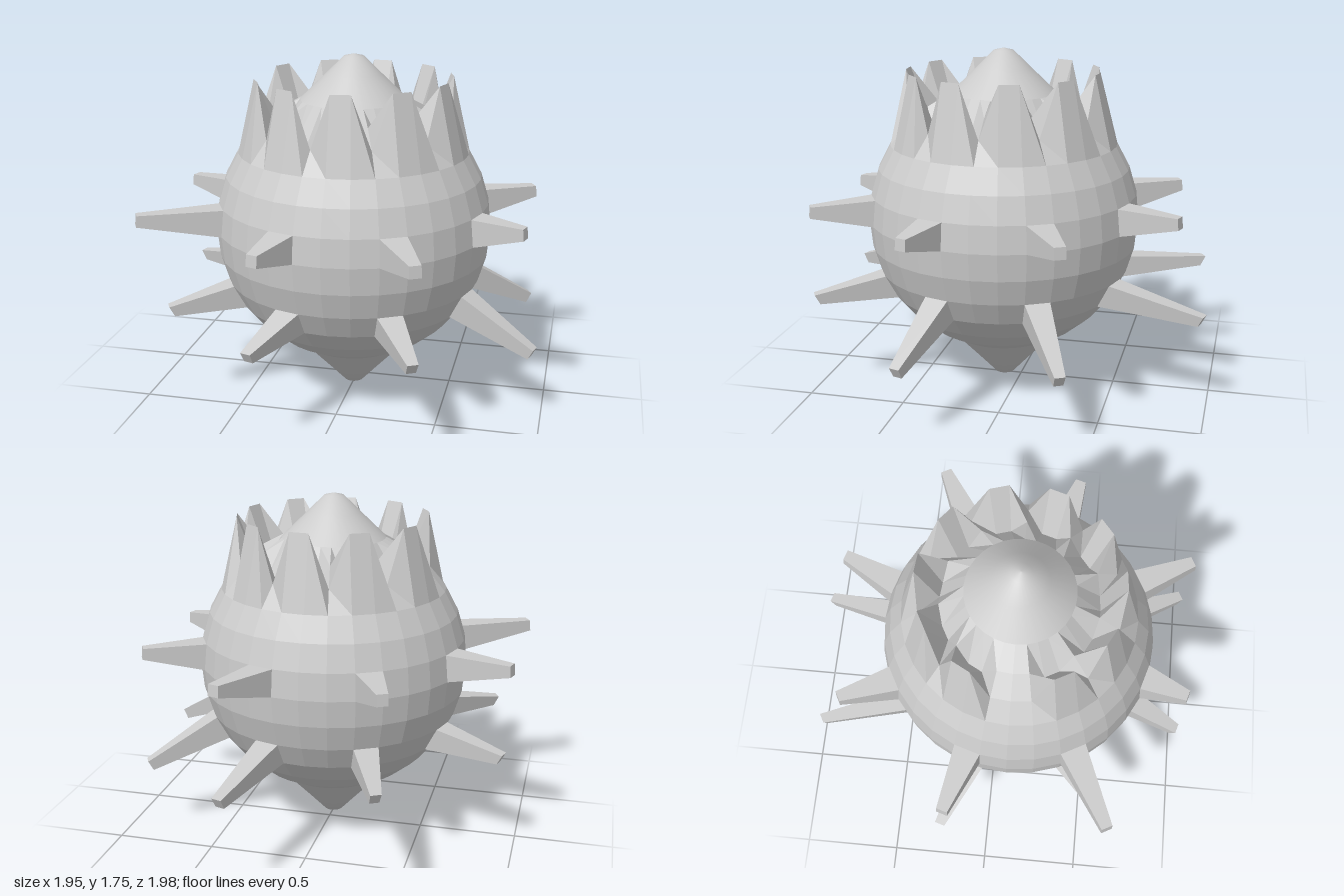
import * as THREE from 'three';

const R = 0.695, CY = 0.885, CZ = 0.09; // ball radius and centre
const STEP = Math.PI / 16;              // one facet, both ways

// point on the ball: column counts round from the front, row up from the equator
function ballPoint(col, row) {
  const a = col * STEP, e = row * STEP;
  return new THREE.Vector3(R * Math.cos(e) * Math.sin(a), CY + R * Math.sin(e), CZ + R * Math.cos(e) * Math.cos(a));
}

// faceted ball whose upper rings rise into a crown with a groove behind it
function bodyGeometry() {
  const geo = new THREE.SphereGeometry(R, 32, 12, Math.PI / 2, Math.PI * 2, 2 * STEP, 12 * STEP);
  const pos = geo.attributes.position;
  for (let i = 0; i < pos.count; i++) {
    const row = Math.floor(i / 33), j = ((i % 33) + 7) % 32;
    const inTooth = j < 30 && j % 3 !== 0; // ten teeth of three facets, one gap
    if (inTooth && row === 2) pos.setY(i, 1.64 - CY);
    if (inTooth && row === 1) pos.setY(i, pos.getY(i) - 0.1);
  }
  geo.translate(0, CY, CZ);
  const flat = geo.toNonIndexed();
  flat.computeVertexNormals();
  return flat;
}

// tapered spike from one facet of the ball to a small square tip
function spikeGeometry(col, row, tip) {
  const geo = new THREE.BoxGeometry(1, 1, 1);
  const pos = geo.attributes.position;
  const centre = ballPoint(col + 0.5, row + 0.5);
  const end = new THREE.Vector3(...tip);
  for (let i = 0; i < pos.count; i++) {
    const p = ballPoint(col + (pos.getX(i) > 0 ? 1 : 0), row + (pos.getY(i) > 0 ? 1 : 0));
    if (pos.getZ(i) > 0) p.sub(centre).multiplyScalar(0.42).add(end);
    pos.setXYZ(i, p.x, p.y, p.z);
  }
  geo.computeVertexNormals();
  return geo;
}

export function createModel() {
  const model = new THREE.Group();
  const flat = new THREE.MeshStandardMaterial({ color: 0xcccccc, flatShading: true, side: THREE.DoubleSide });
  const smooth = new THREE.MeshStandardMaterial({ color: 0xcccccc, side: THREE.DoubleSide });
  const add = (name, geo, mat, parent = model) => {
    const mesh = new THREE.Mesh(geo, mat);
    mesh.name = name;
    parent.add(mesh);
    return mesh;
  };

  add('crownedBody', bodyGeometry(), flat);

  // pointed caps, listed from bottom to top
  const cap = (name, pts) => {
    const geo = new THREE.LatheGeometry(pts.map(([x, y]) => new THREE.Vector2(x, y)), 32);
    add(name, geo, smooth).position.z = CZ;
  };
  cap('topCone', [[0.266, 1.527], [0.136, 1.653], [0.05, 1.738], [0, 1.75]]);
  cap('bottomCone', [[0, 0], [0.05, 0.012], [0.136, 0.105], [0.266, 0.243]]);

  // spike tips, one every four facets round from the front left
  const upperTips = [
    [0.47, 0.97, 0.97], [0.89, 0.97, 0.35], [0.88, 0.98, -0.38], [0.33, 0.99, -0.85],
    [-0.44, 0.99, -0.78], [-0.96, 0.98, -0.2], [-0.97, 0.985, 0.6], [-0.265, 0.96, 0.97],
  ];
  const lowerTips = [
    [0.46, 0.51, 0.96], [0.95, 0.37, 0.37], [0.87, 0.37, -0.38], [0.28, 0.49, -0.97],
    [-0.44, 0.57, -0.91], [-0.93, 0.53, -0.23], [-0.81, 0.53, 0.6], [-0.3, 0.49, 0.97],
  ];
  [['upperSpikes', upperTips, 0], ['lowerSpikes', lowerTips, -3]].forEach(([name, tips, row]) => {
    const ring = new THREE.Group();
    ring.name = name;
    tips.forEach((tip, i) => add('spike', spikeGeometry(2 + 4 * i, row, tip), flat, ring));
    model.add(ring);
  });
  return model;
}
